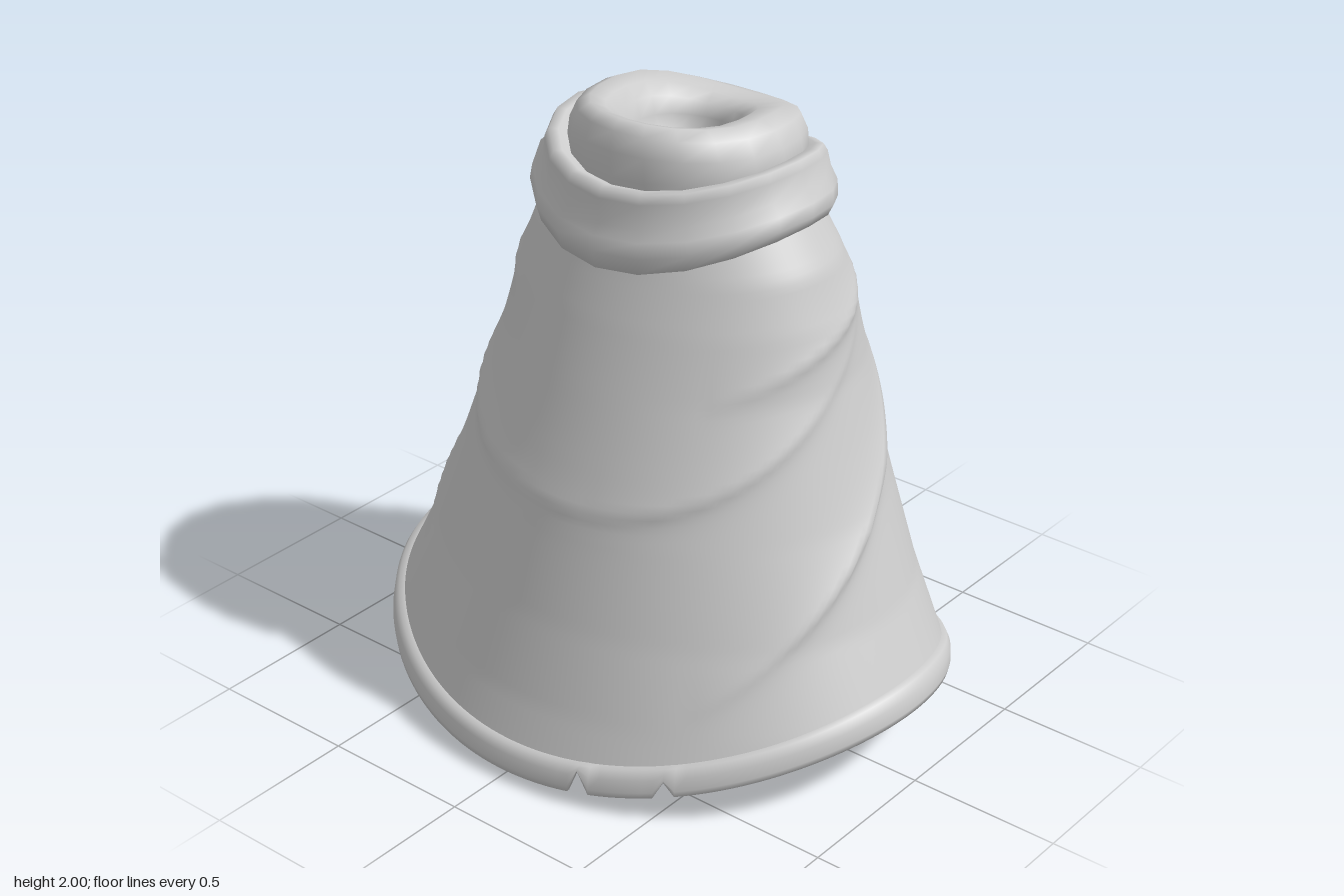
import * as THREE from 'three';

const cloth = new THREE.MeshStandardMaterial({ color: 0xcccccc, side: THREE.DoubleSide });
cloth.name = 'grey cloth';

// Smooth grid surface from a rule; wraps around when closed, flips to face outward when mirrored
function loft(name, rows, cols, closed, rule, flip = false) {
  const pos = [], index = [];
  const n = closed ? cols : cols + 1;
  for (let i = 0; i <= rows; i++)
    for (let j = 0; j < n; j++) pos.push(...rule(i, j / cols));
  for (let i = 0; i < rows; i++)
    for (let j = 0; j < cols; j++) {
      const k = (j + 1) % n, a = i * n + j, b = i * n + k;
      index.push(a, b, b + n, a, b + n, a + n);
    }
  if (flip) index.reverse();
  const geo = new THREE.BufferGeometry();
  geo.setAttribute('position', new THREE.Float32BufferAttribute(pos, 3));
  geo.setIndex(index);
  geo.computeVertexNormals();
  const mesh = new THREE.Mesh(geo, cloth);
  mesh.name = name;
  return mesh;
}

// Body silhouette: height, half width, front z, back z
const PROFILE = [
  [0.0, 1.03, 0.8, -0.785], [0.25, 0.953, 0.705, -0.75], [0.5, 0.832, 0.625, -0.703],
  [0.8, 0.722, 0.54, -0.652], [1.0, 0.66, 0.472, -0.61], [1.2, 0.6, 0.402, -0.583],
  [1.4, 0.562, 0.33, -0.54], [1.55, 0.515, 0.272, -0.485], [1.76, 0.385, 0.2, -0.42],
];
function profile(y) {
  let k = 0;
  while (k < PROFILE.length - 2 && y > PROFILE[k + 1][0]) k++;
  const a = PROFILE[k], b = PROFILE[k + 1], t = (y - a[0]) / (b[0] - a[0]);
  return [1, 2, 3].map((m) => a[m] + (b[m] - a[m]) * t);
}

// Point of an oval ring; angle 0 is the front, 90 degrees is +x
function oval(angle, y, [w, f, b], out = 0) {
  return [Math.sin(angle) * (w + out), y, (f + b) / 2 + Math.cos(angle) * ((f - b) / 2 + out)];
}

const hemHeight = (a) =>
  0.23 - (Math.cos(a) > 0 ? 0.197 : 0.222) * Math.pow(Math.abs(Math.cos(a)), 2.1);

// Draped folds: bulge above a curve that runs round the body
const bump = (x, mid, half) => Math.max(0, 1 - ((x - mid) / half) ** 2);
function crease(y, c, size, soft) {
  const t = y - c;
  return size * (t > 0 ? Math.exp(-t / soft) : Math.exp(t / 0.03));
}
function folds(angle, y) {
  let deg = (angle * 180) / Math.PI;
  if (deg > 180) deg -= 360;
  const d = Math.abs(deg), swoop = 1 - Math.cos(angle);
  const fade = Math.min(1, Math.max(0, (1.7 - y) / 0.25));
  let r = crease(y, 0.86 + 0.37 * swoop, 0.01 + 0.015 * bump(d, 70, 60), 0.1) * bump(d, 0, 115);
  r += crease(y, 0.78 + 0.0085 * (d - 90), 0.033, 0.1) * bump(d, 98, deg > 0 ? 62 : 48);
  r += crease(y, (deg > 0 ? 1.36 : 1.48) + 0.003 * (d - 90), 0.02, 0.07) * bump(d, 95, 55);
  return r * fade;
}

function makeBody() {
  return loft('cloakBody', 70, 180, true, (i, u) => {
    const a = u * Math.PI * 2, low = hemHeight(a) + 0.075;
    const y = low + (1.75 - low) * (i / 70);
    const seam = Math.abs(u - 0.5) < 0.001 ? -0.035 : 0;
    return oval(a, y, profile(y), folds(a, y) + seam);
  });
}

// Rolled hem that follows the flare, with small triangular nicks
function makeHem() {
  const section = [[-0.015, 0.09], [-0.025, 0.03], [-0.012, -0.004], [0.006, 0], [0.014, 0.02],
    [0.018, 0.06], [0.01, 0.088], [-0.015, 0.09]];
  const nicks = [[16, 0.9], [32, 0.6], [180, 0.35]];
  return loft('rolledHem', section.length - 1, 180, true, (i, u) => {
    const a = u * Math.PI * 2, [out, up] = section[i];
    let lift = 0;
    for (const [deg, depth] of nicks)
      lift = Math.max(lift, depth * (1 - Math.abs(u * 360 - deg) / 2));
    const h = hemHeight(a);
    return oval(a, h + up + lift * (0.09 - up), profile(h + up * 0.75), out);
  });
}

// Collar rolls: half width, front z, back z, then height at front, side and back
const LOWER = [
  [0.4, 0.2, -0.43, 1.62, 1.72, 1.62], [0.435, 0.28, -0.465, 1.565, 1.69, 1.565],
  [0.475, 0.32, -0.495, 1.565, 1.69, 1.56], [0.492, 0.332, -0.51, 1.62, 1.725, 1.61],
  [0.485, 0.326, -0.512, 1.67, 1.765, 1.68], [0.45, 0.302, -0.51, 1.7, 1.795, 1.73],
  [0.44, 0.3, -0.5, 1.78, 1.855, 1.755], [0.425, 0.288, -0.49, 1.808, 1.88, 1.765],
  [0.395, 0.265, -0.475, 1.812, 1.875, 1.765], [0.35, 0.235, -0.455, 1.8, 1.85, 1.755],
];
const UPPER = [
  [0.36, 0.235, -0.455, 1.78, 1.82, 1.75], [0.366, 0.246, -0.47, 1.83, 1.85, 1.79],
  [0.355, 0.246, -0.475, 1.91, 1.895, 1.84], [0.325, 0.236, -0.468, 1.97, 1.945, 1.872],
  [0.275, 0.205, -0.42, 2.0, 1.97, 1.888], [0.215, 0.165, -0.33, 1.985, 1.96, 1.9],
  [0.172, 0.128, -0.282, 1.945, 1.925, 1.88], [0.158, 0.112, -0.272, 1.88, 1.865, 1.84],
  [0.135, 0.085, -0.268, 1.8, 1.8, 1.79], [0.075, 0.025, -0.262, 1.74, 1.73, 1.71],
];
function makeRoll(name, rings) {
  return loft(name, rings.length - 1, 20, true, (i, u) => {
    const a = u * Math.PI * 2, c = Math.cos(a), [w, f, b, yf, ys, yb] = rings[i];
    return oval(a, ys + ((c > 0 ? yf : yb) - ys) * c * c, [w, f, b]);
  });
}

// Back placket: flat strip with a raised lip and gathered chevron folds
function makePlacket(name, side) {
  return loft(name, 110, 14, false, (i, u) => {
    const y = 0.1 + 1.45 * (i / 110);
    const x = 0.008 + u * (0.2 - 0.03 * (i / 110));
    const [w, f, b] = profile(y);
    const gather = Math.sqrt(bump(y, 1.02, 0.44)) * bump(u, 0.45, 0.48);
    const zig = Math.abs(u - 0.45) * 0.2;
    const ridge = 0.5 + 0.5 * Math.sin(((y + zig) / 0.165) * Math.PI * 2);
    const edge = Math.min(1, (1 - u) * 8) * Math.min(1, (1.55 - y) * 6);
    const out = edge * (0.006 + 0.012 * bump(u, 0.05, 0.15)) + gather * ridge * 0.028;
    const z = (f + b) / 2 - ((f - b) / 2) * Math.sqrt(1 - (x / w) ** 2) - out;
    return [side * x, y, z];
  }, side > 0);
}

export function createModel() {
  const model = new THREE.Group();
  model.name = 'cloak';
  model.add(
    makeBody(),
    makeHem(),
    makeRoll('lowerCollarRoll', LOWER),
    makeRoll('upperCollarRoll', UPPER),
    makePlacket('leftBackPlacket', 1),
    makePlacket('rightBackPlacket', -1),
  );
  return model;
}
